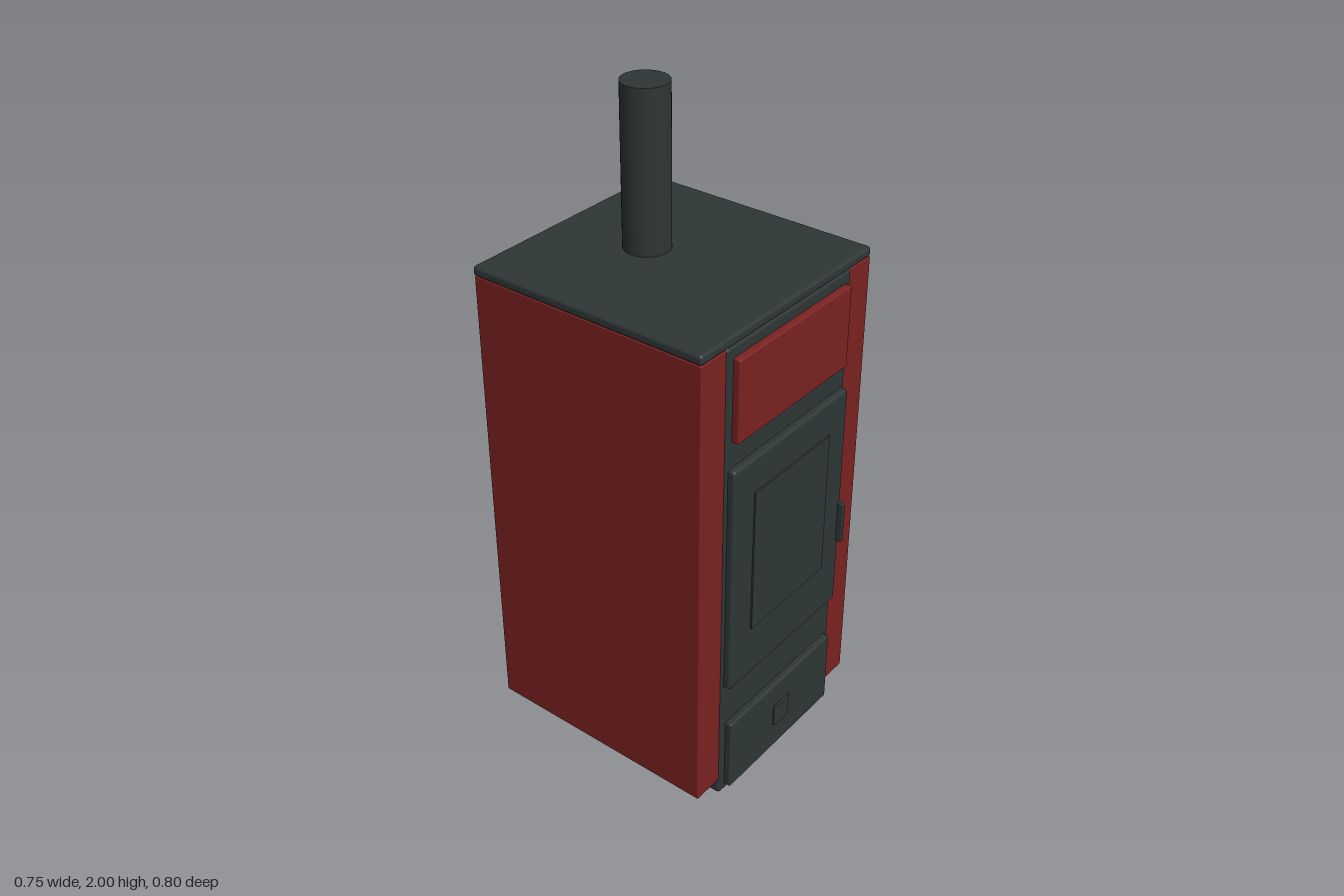
import * as THREE from 'three';
import { RoundedBoxGeometry } from 'three/addons/geometries/RoundedBoxGeometry.js';

export function createModel() {
  const stove = new THREE.Group();
  stove.name = 'stove';

  const iron = new THREE.MeshStandardMaterial({ color: 0x2e3636 });
  iron.name = 'dark iron';
  const enamel = new THREE.MeshStandardMaterial({ color: 0x7c2222 });
  enamel.name = 'red enamel';

  const add = (name, geometry, material) => {
    const mesh = new THREE.Mesh(geometry, material);
    mesh.name = name;
    stove.add(mesh);
    return mesh;
  };

  // Box given by its limits on each axis, with softened edges
  const block = (name, material, [x0, x1], [y0, y1], [z0, z1], radius) => {
    const geometry = radius
      ? new RoundedBoxGeometry(x1 - x0, y1 - y0, z1 - z0, 3, radius)
      : new THREE.BoxGeometry(x1 - x0, y1 - y0, z1 - z0);
    geometry.translate((x0 + x1) / 2, (y0 + y1) / 2, (z0 + z1) / 2);
    return add(name, geometry, material);
  };

  // Firebox body and overhanging top plate
  block('body', iron, [-0.275, 0.275], [0, 1.51], [-0.4, 0.36], 0.012);
  block('topPlate', iron, [-0.373, 0.373], [1.505, 1.535], [-0.4, 0.357], 0.01);

  // Enamelled side panels
  block('leftSidePanel', enamel, [0.27, 0.371], [0.055, 1.506], [-0.396, 0.356], 0.004);
  block('rightSidePanel', enamel, [-0.371, -0.27], [0.055, 1.506], [-0.396, 0.356], 0.004);

  // Flue pipe
  const pipe = add('fluePipe', new THREE.CylinderGeometry(0.067, 0.067, 0.48, 48), iron);
  pipe.position.set(0, 1.76, -0.114);

  // Front panels
  block('upperPanel', enamel, [-0.248, 0.248], [1.228, 1.475], [0.345, 0.381], 0.005);
  block('door', iron, [-0.262, 0.262], [0.41, 1.15], [0.345, 0.382], 0.01);
  block('doorWindow', iron, [-0.173, 0.173], [0.58, 1.042], [0.378, 0.387]);
  block('ashDrawer', iron, [-0.25, 0.25], [0.022, 0.268], [0.345, 0.381], 0.007);

  // Door handle
  block('doorHandle', iron, [0.246, 0.26], [0.635, 0.77], [0.378, 0.4], 0.003);

  // Drawer pull with a gently bowed face
  const bow = new THREE.Shape();
  bow.moveTo(-0.038, -0.378);
  bow.lineTo(0.038, -0.378);
  bow.lineTo(0.038, -0.384);
  bow.quadraticCurveTo(0, -0.396, -0.038, -0.384);
  bow.closePath();
  const pull = new THREE.ExtrudeGeometry(bow, { depth: 0.073, bevelEnabled: false, curveSegments: 10 });
  pull.rotateX(-Math.PI / 2);
  pull.translate(0, 0.112, 0);
  add('drawerPull', pull, iron);

  return stove;
}
